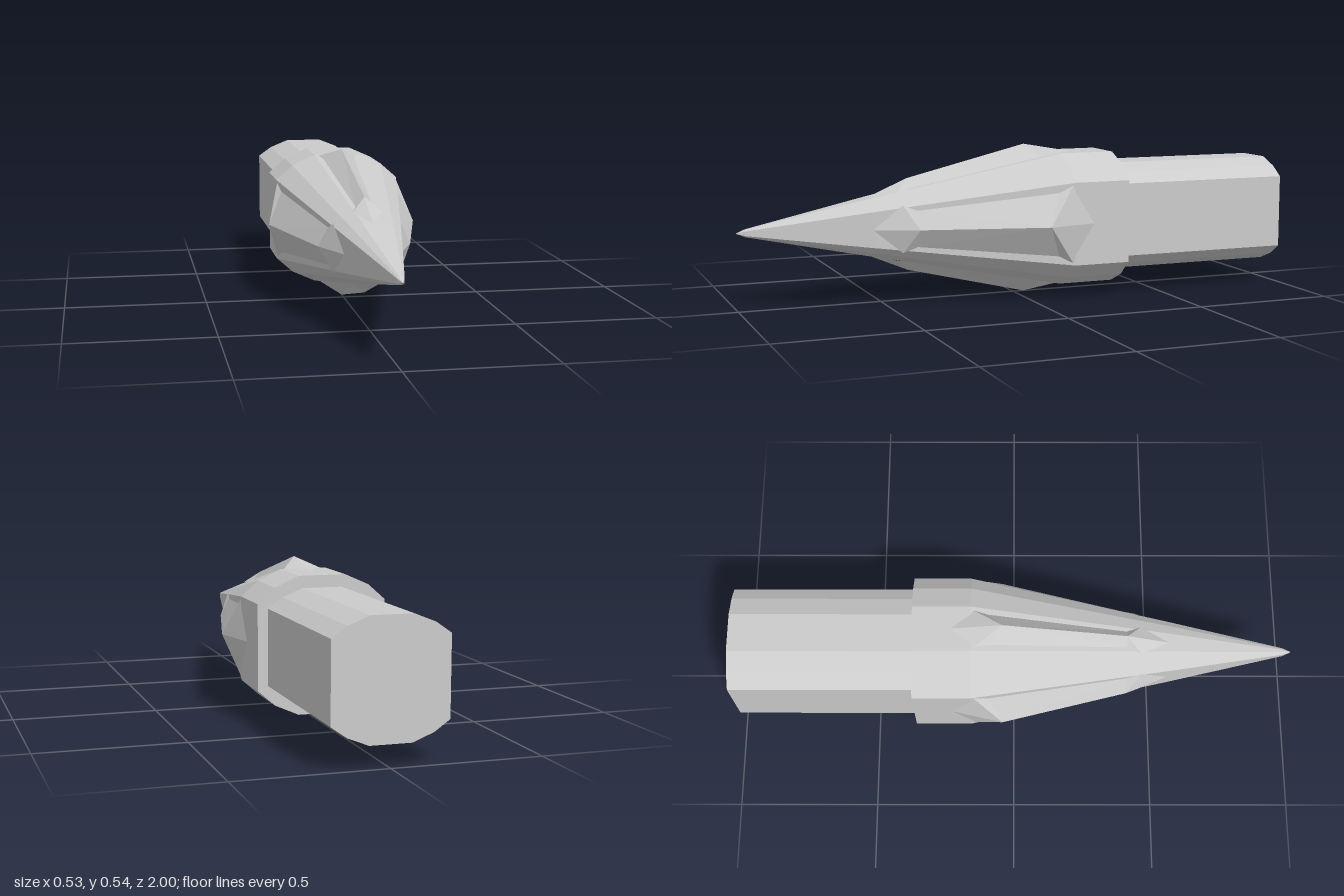
import * as THREE from 'three';

const CENTER_Y = 0.272;
const mat = () => new THREE.MeshStandardMaterial({ color: 0xcccccc, flatShading: true });

// Twelve-sided section from one quadrant, counter-clockwise seen from the front
function section(q) {
  const r = [...q].reverse();
  return [
    ...q,
    ...r.map(([x, y]) => [-x, y]),
    ...q.map(([x, y]) => [-x, -y]),
    ...r.map(([x, y]) => [x, -y]),
  ];
}

function fromTriangles(tris) {
  const g = new THREE.BufferGeometry();
  g.setAttribute('position', new THREE.Float32BufferAttribute(tris.flat(2), 3));
  g.computeVertexNormals();
  return g;
}

// Loft a section through rings [z, scale], back to front, closed at both ends
function loft(pts, rings) {
  const at = ([z, s], i) => {
    const [x, y] = pts[i % pts.length];
    return [x * s, y * s, z];
  };
  const first = rings[0], last = rings[rings.length - 1];
  const tris = [];
  pts.forEach((_, i) => {
    for (let k = 0; k + 1 < rings.length; k++) {
      const a = at(rings[k], i), b = at(rings[k], i + 1);
      const c = at(rings[k + 1], i + 1), d = at(rings[k + 1], i);
      tris.push([a, b, c], [a, c, d]);
    }
    tris.push([[0, 0, first[0]], at(first, i + 1), at(first, i)]);
    tris.push([[0, 0, last[0]], at(last, i), at(last, i + 1)]);
  });
  return fromTriangles(tris);
}

// Body scale along z: straight collar, long taper, small blunt tip
const BODY = [[-0.355, 1], [-0.15, 1], [0.55, 0.42], [0.97, 0.055], [1, 0.004]];
function bodyScale(z) {
  for (let i = 0; i + 1 < BODY.length; i++) {
    const [z0, s0] = BODY[i], [z1, s1] = BODY[i + 1];
    if (z <= z1) return s0 + (s1 - s0) * (z - z0) / (z1 - z0);
  }
  return 0;
}

// Faceted ridge lying on a flat body panel; +y points outward
function ridgeGeometry(panel, heights, widths) {
  const base = (x, z) => [x, panel * bodyScale(z), z];
  const [hFront, hPeak] = heights;
  const front = base(0, 0.55), back = base(0, -0.22);
  const r1 = [0, hFront, 0.4], r2 = [0, hPeak, -0.04];
  const tris = [];
  for (const s of [1, -1]) {
    const [f1, f2, b1, b2] = [0.45, 0.4, -0.09, -0.14].map((z, i) => base(s * widths[i], z));
    const half = [
      [front, f1, r1], [f1, f2, r1], [f2, r2, r1],
      [f2, b1, r2], [b1, b2, r2], [b2, back, r2],
    ];
    tris.push(...half.map(([a, b, c]) => (s > 0 ? [a, b, c] : [a, c, b])));
  }
  return fromTriangles(tris);
}

export function createModel() {
  const group = new THREE.Group();
  const add = (name, geometry, angle = 0) => {
    const mesh = new THREE.Mesh(geometry, mat());
    mesh.name = name;
    mesh.position.y = CENTER_Y;
    mesh.rotation.z = angle;
    group.add(mesh);
  };

  // Pointed head with collar
  add('head', loft(section([[0.225, 0.147], [0.165, 0.2], [0.082, 0.237]]), BODY));

  // Shaft
  add('shaft', loft(section([[0.19, 0.131], [0.139, 0.167], [0.069, 0.195]]), [[-1, 1], [-0.33, 1]]));

  // Narrow ridges above and below, wide ridges on the sides
  const narrow = ridgeGeometry(0.237, [0.163, 0.269], [0.05, 0.03, 0.056, 0.068]);
  const wide = ridgeGeometry(0.225, [0.157, 0.266], [0.083, 0.063, 0.112, 0.138]);
  add('topRidge', narrow);
  add('bottomRidge', narrow, Math.PI);
  add('leftRidge', wide, -Math.PI / 2);
  add('rightRidge', wide, Math.PI / 2);

  return group;
}
